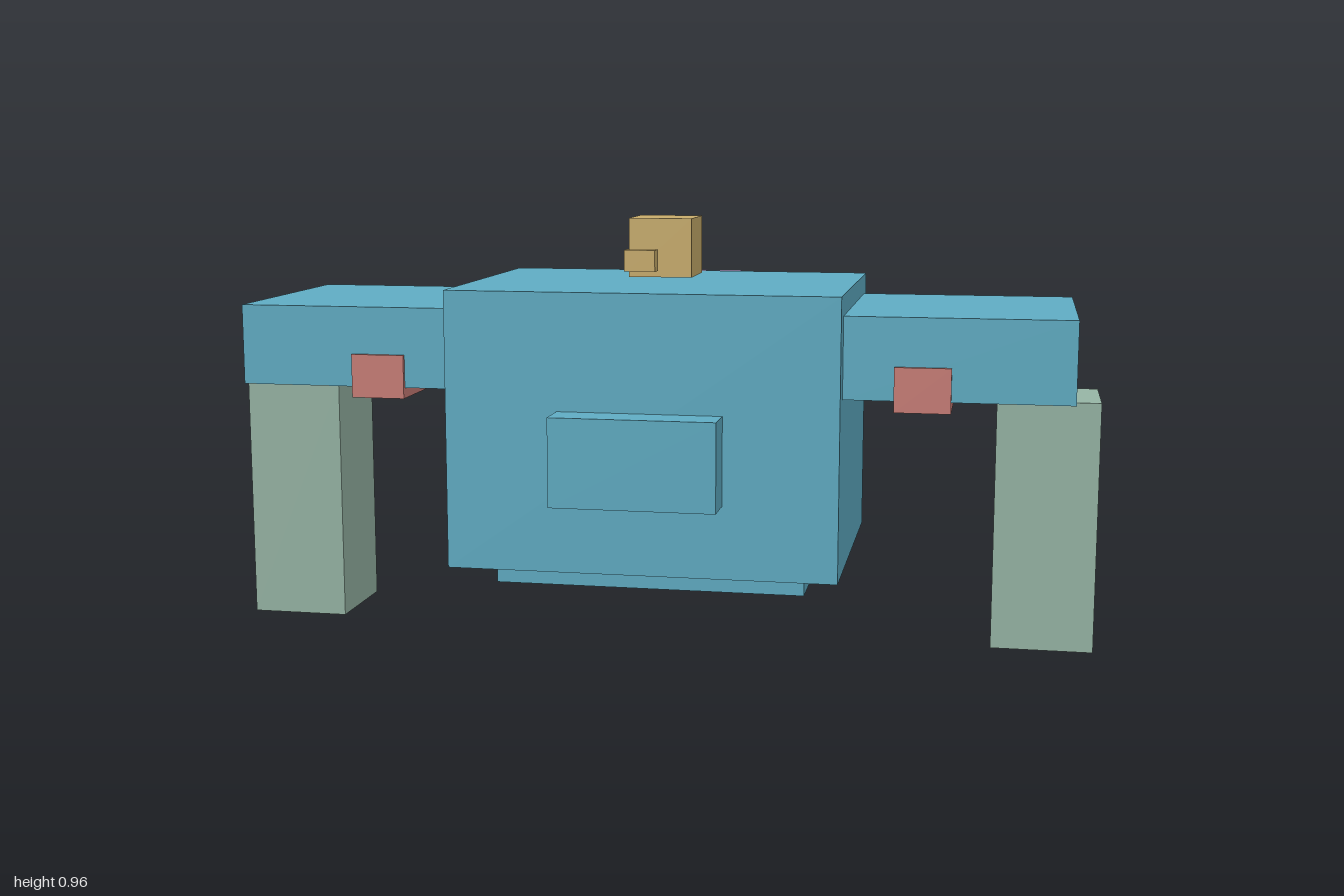
import * as THREE from 'three';

const material = (name, color) => {
  const m = new THREE.MeshStandardMaterial({ color });
  m.name = name;
  return m;
};

export function createModel() {
  const blue = material('blue', 0x5facc3);
  const green = material('sage green', 0x96b4a4);
  const purple = material('lilac', 0xb19bc9);
  const tan = material('tan', 0xc9ad6c);
  const red = material('dusty red', 0xc87d76);

  const model = new THREE.Group();
  model.name = 'blockRobot';

  // Box given by its extents along each axis
  const box = (name, mat, [x0, x1], [y0, y1], [z0, z1], parent = model) => {
    const mesh = new THREE.Mesh(new THREE.BoxGeometry(x1 - x0, y1 - y0, z1 - z0), mat);
    mesh.position.set((x0 + x1) / 2, (y0 + y1) / 2, (z0 + z1) / 2);
    mesh.name = name;
    parent.add(mesh);
  };

  // Torso with base and chest plate
  box('torso', blue, [-0.442, 0.442], [0.184, 0.814], [-0.286, 0.36]);
  box('base', blue, [-0.357, 0.357], [0.128, 0.184], [-0.181, 0.255]);
  box('chestPlate', blue, [-0.186, 0.186], [0.349, 0.549], [0.36, 0.446]);

  // Floating head and small block in front of it
  box('head', tan, [-0.073, 0.073], [0.829, 0.964], [-0.036, 0.11]);
  box('nose', tan, [-0.034, 0.034], [0.86, 0.907], [0.309, 0.347]);

  // Backpack with its fittings
  box('backpack', blue, [-0.265, 0.265], [0.424, 0.727], [-0.41, -0.286]);
  box('backpackPouch', purple, [-0.154, 0.154], [0.313, 0.433], [-0.444, -0.343]);
  for (const x of [-0.089, 0, 0.089]) {
    box('backpackKnob', purple, [x - 0.032, x + 0.032], [0.72, 0.81], [-0.366, -0.3]);
  }

  // Limbs and side fittings, mirrored
  for (const s of [1, -1]) {
    const side = new THREE.Group();
    side.name = s > 0 ? 'leftSide' : 'rightSide';
    model.add(side);
    const part = (name, mat, [x0, x1], y, z) =>
      box(name, mat, s > 0 ? [x0, x1] : [-x1, -x0], y, z, side);
    part('arm', blue, [0.442, 0.94], [0.585, 0.768], [-0.235, 0.308]);
    part('armLight', red, [0.553, 0.676], [0.561, 0.66], [0.144, 0.317]);
    part('legJoint', green, [0.772, 0.929], [0.569, 0.62], [-0.041, 0.116]);
    part('leg', green, [0.772, 1], [0, 0.569], [-0.078, 0.15]);
    part('backpackRail', purple, [0.262, 0.333], [0.5, 0.777], [-0.388, -0.337]);
  }

  return model;
}
